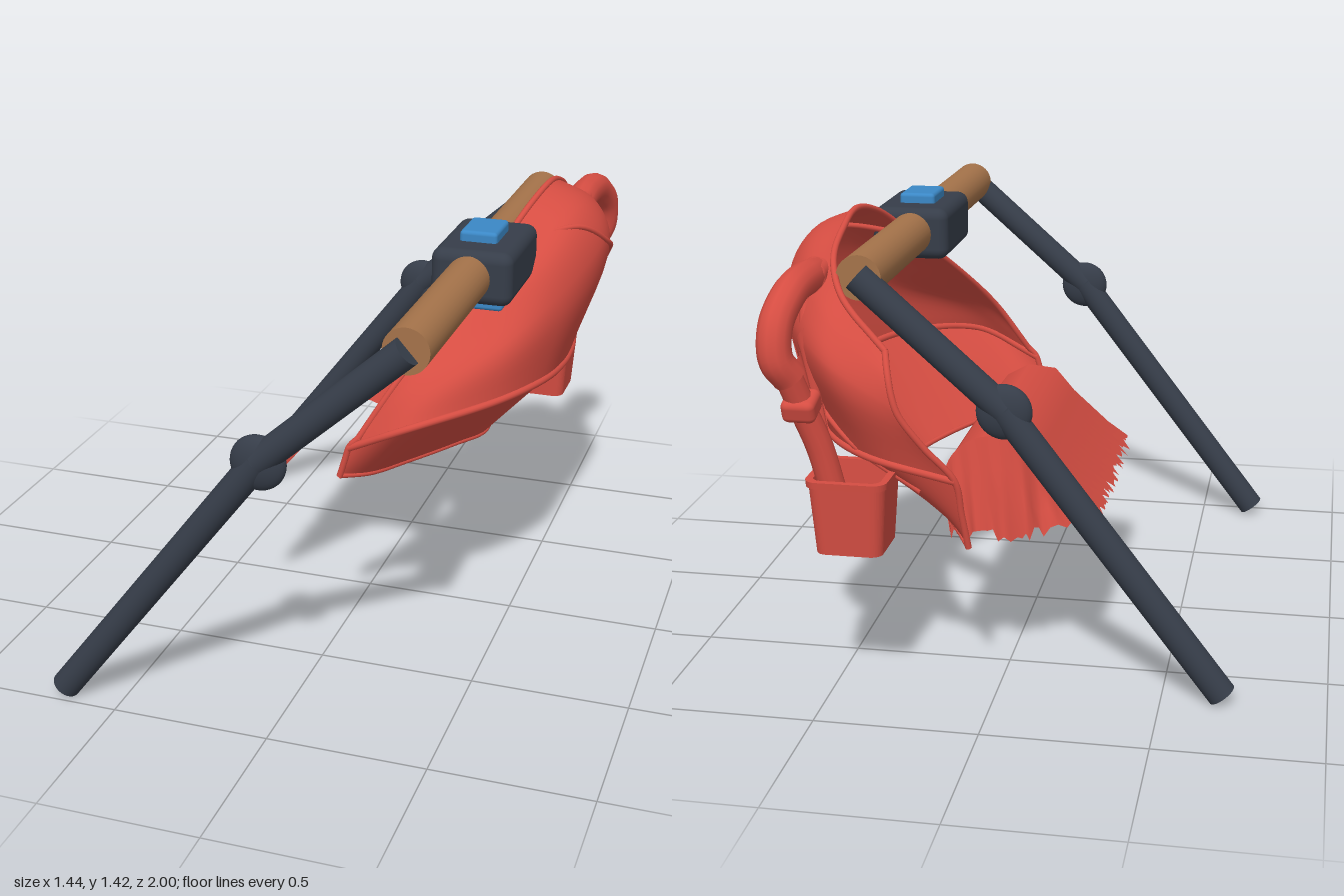
import * as THREE from 'three';
import { RoundedBoxGeometry } from 'three/addons/geometries/RoundedBoxGeometry.js';

const V = (x, y, z) => new THREE.Vector3(x, y, z);

export function createModel() {
  const model = new THREE.Group();
  const material = (name, color, side = THREE.FrontSide) => {
    const m = new THREE.MeshStandardMaterial({ color, side });
    m.name = name;
    return m;
  };
  const charcoal = material('charcoal', 0x363d49);
  const wood = material('wood brown', 0xa5734a);
  const blue = material('blue', 0x3b88c6);
  const red = material('red', 0xd54d42, THREE.DoubleSide);

  const add = (name, geometry, mat, x = 0, y = 0, z = 0) => {
    const mesh = new THREE.Mesh(geometry, mat);
    mesh.name = name;
    mesh.position.set(x, y, z);
    model.add(mesh);
    return mesh;
  };
  const rod = (name, a, b, r, mat) => {
    const d = b.clone().sub(a);
    const mesh = add(name, new THREE.CylinderGeometry(r, r, d.length(), 32), mat);
    mesh.position.copy(a).add(b).multiplyScalar(0.5);
    mesh.quaternion.setFromUnitVectors(V(0, 1, 0), d.normalize());
    return mesh;
  };
  const tube = (name, points, r, segments = 40) =>
    add(name, new THREE.TubeGeometry(new THREE.CatmullRomCurve3(points), segments, r, 12), red);
  // Grid surface from a function of (i, j)
  const sheet = (name, nu, nv, point) => {
    const pos = [], index = [];
    for (let i = 0; i <= nu; i++) for (let j = 0; j <= nv; j++) {
      pos.push(...point(i, j).toArray());
      if (i < nu && j < nv) {
        const a = i * (nv + 1) + j, b = a + nv + 1;
        index.push(a, a + 1, b, b, a + 1, b + 1);
      }
    }
    const g = new THREE.BufferGeometry();
    g.setAttribute('position', new THREE.Float32BufferAttribute(pos, 3));
    g.setIndex(index);
    g.computeVertexNormals();
    return add(name, g, red);
  };

  // Crossbar with its control box and buttons
  rod('crossbar', V(0.41, 1.28, -0.68), V(0.41, 1.28, 0.95), 0.068, wood);
  add('controlBox', new RoundedBoxGeometry(0.252, 0.168, 0.365, 4, 0.035), charcoal, 0.416, 1.278, 0.138);
  add('topButton', new RoundedBoxGeometry(0.117, 0.05, 0.157, 3, 0.012), blue, 0.412, 1.369, 0.138);
  add('bottomButton', new RoundedBoxGeometry(0.15, 0.05, 0.08, 3, 0.012), blue, 0.425, 1.183, 0.21);

  // Two bent legs with flattened knees
  for (const z of [0.955, -0.68]) {
    const hip = V(0.415, 1.285, z), knee = V(-0.02, 0.9, z), foot = V(-0.685, 0.035, z);
    rod('upperLeg', hip, knee, 0.045, charcoal);
    rod('lowerLeg', knee, foot, 0.045, charcoal);
    add('knee', new THREE.SphereGeometry(0.085, 32, 20), charcoal, -0.02, 0.895, z).scale.z = 0.46;
  }

  // Curved shell: rails for bottom edge, seam, belly, crown and top edge, front to back
  const rails = [
    [[0.05, 0.64, 0.46], [0.12, 0.62, 0.37], [0.19, 0.6, 0.21], [0.3, 0.59, 0], [0.36, 0.58, -0.15],
      [0.33, 0.59, -0.35], [0.28, 0.6, -0.5], [0.21, 0.58, -0.62], [0.13, 0.55, -0.71], [0.07, 0.5, -0.78]],
    [[0.08, 0.74, 0.46], [0.28, 0.835, 0.465], [0.49, 0.87, 0.27], [0.59, 0.87, 0.05], [0.61, 0.85, -0.15],
      [0.6, 0.83, -0.35], [0.57, 0.81, -0.52], [0.5, 0.79, -0.68], [0.35, 0.77, -0.8], [0.1, 0.72, -0.82]],
    [[0.09, 0.755, 0.46], [0.28, 0.9, 0.43], [0.5, 1.02, 0.23], [0.63, 1.12, 0], [0.69, 1.18, -0.17],
      [0.71, 1.22, -0.32], [0.69, 1.2, -0.48], [0.62, 1.12, -0.67], [0.47, 1.05, -0.85], [0.25, 0.93, -0.875]],
    [[0.1, 0.765, 0.458], [0.25, 0.94, 0.4], [0.43, 1.09, 0.2], [0.57, 1.24, 0], [0.625, 1.33, -0.17],
      [0.645, 1.35, -0.32], [0.63, 1.33, -0.47], [0.58, 1.25, -0.64], [0.47, 1.16, -0.8], [0.28, 1.03, -0.86]],
    [[0.11, 0.775, 0.455], [0.21, 0.945, 0.38], [0.325, 1.13, 0.19], [0.42, 1.27, 0], [0.48, 1.375, -0.16],
      [0.51, 1.415, -0.32], [0.51, 1.385, -0.47], [0.5, 1.32, -0.62], [0.44, 1.23, -0.74], [0.3, 1.1, -0.81]],
  ].map(r => new THREE.CatmullRomCurve3(r.map(p => V(...p))));
  const shellPoint = (t, v) => {
    const [bottom, ...upper] = rails.map(r => r.getPoint(t / 9));
    if (v < 1) return bottom.lerp(upper[0], v);
    return new THREE.CatmullRomCurve3(upper).getPoint((v - 1) / 3);
  };
  sheet('lowerShell', 72, 6, (i, j) => shellPoint(i / 8, j / 6));
  sheet('upperShell', 72, 18, (i, j) => shellPoint(i / 8, 1 + j / 6));

  // Raised seams and rolled rims
  const alongShell = v => Array.from({ length: 28 }, (_, i) => shellPoint(i / 3, v));
  const acrossShell = t => Array.from({ length: 9 }, (_, i) => shellPoint(t, i / 2));
  tube('shellSeam', alongShell(1), 0.012, 90);
  tube('shellTopRim', alongShell(4), 0.01, 90);
  tube('shellBottomRim', alongShell(0), 0.008, 90);
  tube('shellFrontRim', acrossShell(0), 0.01);
  tube('shellBackRim', acrossShell(9), 0.01);
  tube('plateRidge', [[3, 4], [4, 2.9], [5, 2.1], [6, 1.85], [7, 1.45], [7.6, 1.1], [8.3, 0.6]]
    .map(p => shellPoint(...p)), 0.009, 60);

  // Ragged folded cloth: profile x, y with back and front z limits
  let seed = 7;
  const rand = () => (seed = (seed * 16807) % 2147483647) / 2147483647;
  const cloth = [
    [-0.265, 0.495, -0.45, 0.35], [-0.2, 0.56, -0.48, 0.31], [-0.09, 0.69, -0.55, 0.24],
    [-0.03, 0.775, -0.59, 0.21], [0.06, 0.79, -0.61, 0.19], [0.13, 0.755, -0.61, 0.17],
    [0.17, 0.7, -0.61, 0.14], [0.18, 0.63, -0.62, 0.12],
  ];
  sheet('raggedCloth', 60, 7, (i, j) => {
    const [x, y, z0, z1] = cloth[j];
    const p = V(x, y, z0 + (z1 - z0) * i / 60);
    if (j === 0) {
      const tear = rand() * 0.035;
      p.y += 0.015 - tear;
      p.x += 0.012 - tear;
    }
    return p;
  });
  // Torn strips hanging from the back end of the cloth, following its slope
  const clothEnd = new THREE.CatmullRomCurve3(cloth.map(([x, y, z]) => V(x, y, z)));
  sheet('tornStrips', 36, 3, (i, j) => {
    const p = clothEnd.getPoint(i / 36);
    const low = 0.475 + 0.045 * rand();
    const k = j / 3;
    return V(p.x - 0.03 * k, p.y + (Math.min(low, p.y) - p.y) * k, p.z - 0.06 * k + 0.012 * k * Math.sin(i * 1.3));
  });

  // Hooked hose and strap at the back
  tube('hose', [V(0.56, 1.26, -0.55), V(0.56, 1.28, -0.7), V(0.57, 1.265, -0.83),
    V(0.585, 1.19, -0.925), V(0.58, 1.1, -0.948), V(0.55, 1.04, -0.92)], 0.05, 50);
  add('hoseCuff', new RoundedBoxGeometry(0.095, 0.1, 0.16, 3, 0.03), red, 0.555, 1.265, -0.62);
  tube('strap', [V(0.565, 1.08, -0.93), V(0.53, 0.95, -0.89), V(0.49, 0.82, -0.86), V(0.46, 0.68, -0.84)], 0.04);
  add('strapCuff', new RoundedBoxGeometry(0.1, 0.07, 0.1, 3, 0.02), red, 0.53, 0.95, -0.89).rotation.x = -0.3;
  tube('strapFold', [V(0.57, 1.22, -0.68), V(0.55, 1.0, -0.76), V(0.5, 0.72, -0.8)], 0.02);
  // Creased web between the shell and the strap
  sheet('strapWeb', 16, 10, (i, j) => {
    const u = i / 16, v = j / 10;
    const p = V(0.57, 1.2, -0.66).lerp(V(0.46, 0.66, -0.79), v);
    const q = V(0.55, 1.06, -0.88).lerp(V(0.46, 0.7, -0.85), v);
    p.lerp(q, u).x += 0.01 * Math.sin(u * 14);
    return p;
  });

  // Open tapered cup
  const outline = (T, h, r) => {
    const s = new T();
    for (const [k, [x, z]] of [[1, 1], [-1, 1], [-1, -1], [1, -1]].entries())
      s.absarc(x * (h - r), z * (h - r), r, k * Math.PI / 2, (k + 1) * Math.PI / 2);
    s.closePath();
    return s;
  };
  const cupPart = (name, half, height, hollow, y) => {
    const s = outline(THREE.Shape, half, 0.04);
    if (hollow) s.holes.push(outline(THREE.Path, half - 0.015, 0.028));
    const g = new THREE.ExtrudeGeometry(s, { depth: height, bevelEnabled: false, curveSegments: 6 });
    g.rotateX(-Math.PI / 2);
    const p = g.attributes.position;
    for (let i = 0; i < p.count; i++) {
      const k = 0.86 + 0.14 * (p.getY(i) + y - 0.5) / 0.23;
      p.setX(i, p.getX(i) * k);
      p.setZ(i, p.getZ(i) * k);
    }
    g.computeVertexNormals();
    add(name, g, red, 0.405, y, -0.805);
  };
  cupPart('cupWall', 0.116, 0.23, true, 0.5);
  cupPart('cupFloor', 0.113, 0.02, false, 0.5);
  cupPart('cupRim', 0.122, 0.02, true, 0.71);

  return model;
}
